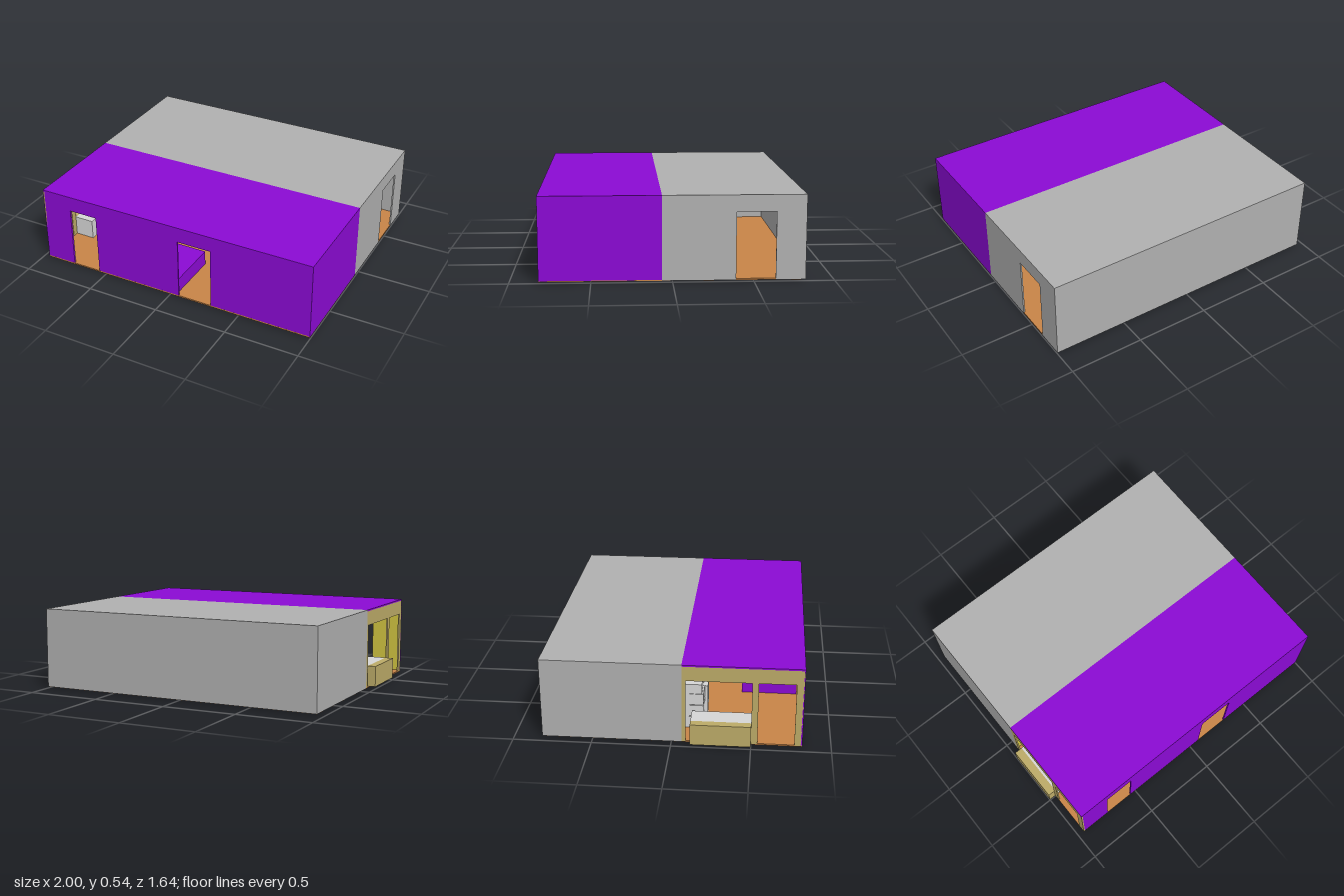
import * as THREE from 'three';

const mat = (name, color, side = THREE.FrontSide) => {
  const m = new THREE.MeshStandardMaterial({ color, side });
  m.name = name;
  return m;
};

export function createModel() {
  const model = new THREE.Group();
  model.name = 'house';
  const purple = mat('purple', 0x8b0ad4);
  const gray = mat('gray', 0xb0b0b0);
  const orange = mat('orange floor', 0xc88548);
  const khaki = mat('khaki', 0xbcab68);
  const yellow = mat('yellow', 0xd2c441);
  const light = mat('light gray', 0xd6d6d6);
  const teal = mat('teal', 0x44777f, THREE.DoubleSide);
  const green = mat('moss green', 0x667a48, THREE.DoubleSide);
  const indigo = mat('indigo', 0x6a5488, THREE.DoubleSide);

  // Box given by its limits on each axis
  const box = (name, m, x0, x1, y0, y1, z0, z1, parent = model) => {
    const mesh = new THREE.Mesh(new THREE.BoxGeometry(x1 - x0, y1 - y0, z1 - z0), m);
    mesh.position.set((x0 + x1) / 2, (y0 + y1) / 2, (z0 + z1) / 2);
    mesh.name = name;
    parent.add(mesh);
    return mesh;
  };

  const X0 = -0.955, X1 = 1, Z0 = -0.82, Z1 = 0.82, SPLIT = 0.065;
  const TOP = 0.54, DOOR = 0.435, T = 0.01;

  // Wall along x or z, made of piers with a lintel above every opening
  const wall = (name, m, axis, at, from, to, y0, openings = []) => {
    const g = new THREE.Group();
    g.name = name;
    const piece = (part, a, b, lo) => axis === 'x'
      ? box(part, m, a, b, lo, TOP - T, at, at + T, g)
      : box(part, m, at, at + T, lo, TOP - T, a, b, g);
    let start = from;
    for (const [a, b] of openings) {
      piece('pier', start, a, y0);
      piece('lintel', a, b, DOOR);
      start = b;
    }
    piece('pier', start, to, y0);
    model.add(g);
  };

  // Outer shell: purple front half, gray back half
  box('frontRoof', purple, X0, X1, TOP - T, TOP, SPLIT, Z1);
  box('backRoof', gray, X0, X1, TOP - T, TOP, Z0, SPLIT);
  wall('frontWall', purple, 'x', Z1 - T, X0, X1, 0.02, [[-0.745, -0.545], [0.07, 0.305]]);
  wall('backWall', gray, 'x', Z0, X0, X1, 0.01);
  wall('leftFrontWall', purple, 'z', X1 - T, SPLIT, Z1, 0.015);
  wall('leftBackWall', gray, 'z', X1 - T, Z0, SPLIT, 0.01, [[-0.635, -0.39]]);
  wall('rightFrontWall', khaki, 'z', X0, SPLIT, Z1, 0.015, [[0.09, 0.5], [0.54, 0.77]]);
  wall('rightBackWall', gray, 'z', X0, Z0, SPLIT, 0.01);

  // Floor and inner walls
  box('floor', orange, X0 + 0.001, X1 - 0.001, 0.009, 0.019, Z0 + 0.001, Z1 - 0.001);
  wall('partition', gray, 'x', SPLIT - T, -0.45, X1 - T, 0.019);
  wall('kitchenBackWall', yellow, 'x', SPLIT - T, X0 + T, -0.45, 0.019);
  box('kitchenFrontPanel', yellow, X0 + T, -0.745, 0.019, TOP - T, Z1 - T - 0.005, Z1 - T);

  // Serving counter through the side opening
  box('counterLedge', khaki, -1, X0 + T, 0.016, 0.155, 0.12, 0.5);
  box('counter', light, X0 + T, -0.81, 0.019, 0.155, 0.12, 0.5);

  // Kitchen cabinets along the inner wall
  box('wallCabinet', light, -0.78, -0.5, 0.26, 0.325, SPLIT, 0.18);
  box('cabinetBack', light, -0.78, -0.5, 0.019, 0.26, SPLIT, 0.1);
  for (let i = 0; i < 3; i++) {
    const y = 0.022 + i * 0.08;
    box('drawer', light, -0.78, -0.65, y, y + 0.075, 0.1, 0.19);
  }
  box('fridge', light, -0.64, -0.55, 0.019, 0.25, 0.1, 0.21);

  // Living room furniture
  box('sofaBase', purple, -0.25, 0.05, 0.019, 0.12, 0.42, 0.79);
  box('sideCabinet', gray, 0.2, 0.34, 0.13, 0.215, SPLIT, 0.16);
  box('lowCabinet', gray, 0.22, 0.34, 0.019, 0.07, SPLIT, 0.18);
  box('shelf', gray, 0.05, 0.16, 0.19, 0.21, SPLIT, 0.14);
  box('tallPanel', gray, 0.05, 0.15, 0.27, 0.46, SPLIT, 0.09);
  box('upperCabinet', gray, 0.17, 0.4, 0.31, 0.48, SPLIT, 0.15);

  // Plates on the underside
  box('floorPlate', gray, 0.37, 0.995, 0.005, 0.009, SPLIT, 0.22);
  box('floorVent', light, 0.68, 0.69, 0, 0.009, 0.51, 0.63);

  // Fan of coloured bands spreading from one back corner of the underside
  const fan = [
    [0, -0.03, khaki], [-0.1, -0.13, khaki], [-0.13, -0.27, green],
    [-0.27, -0.52, teal], [-0.52, -0.72, indigo], [-0.72, -0.815, gray],
  ];
  fan.forEach(([a, b, m]) => {
    const geo = new THREE.BufferGeometry();
    geo.setAttribute('position', new THREE.Float32BufferAttribute(
      [0.99, 0.008, -0.8, X0 + 0.005, 0.008, a, X0 + 0.005, 0.008, b], 3));
    geo.setIndex([0, 1, 2]);
    geo.computeVertexNormals();
    if (geo.attributes.normal.getY(0) > 0) {
      geo.setIndex([0, 2, 1]);
      geo.computeVertexNormals();
    }
    const band = new THREE.Mesh(geo, m);
    band.name = 'undersideBand';
    model.add(band);
  });

  return model;
}
